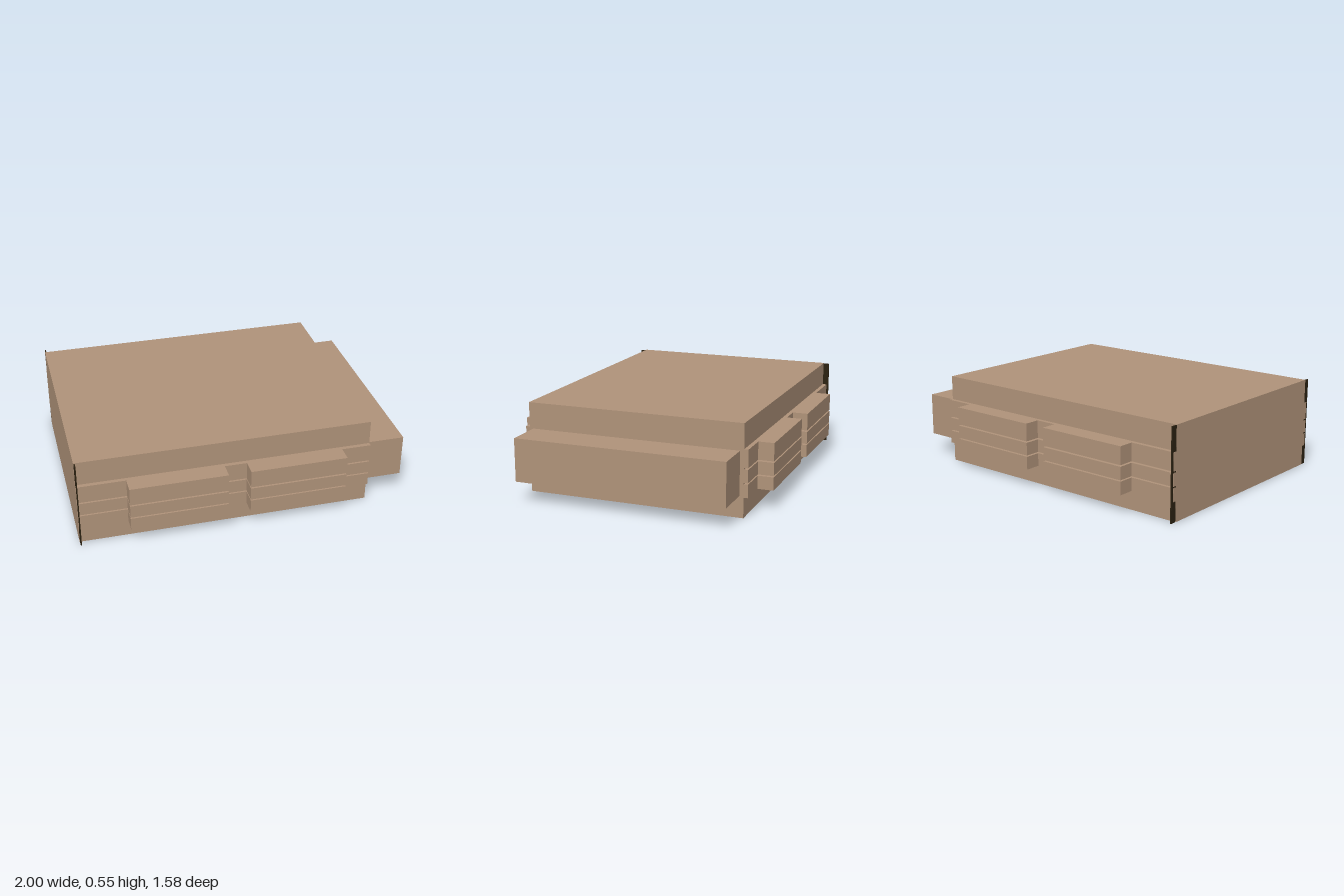
import * as THREE from 'three';

export function createModel() {
  const group = new THREE.Group();
  group.name = 'slattedCrate';

  const material = (name, color) => {
    const m = new THREE.MeshStandardMaterial({ color });
    m.name = name;
    return m;
  };
  const tan = material('tan', 0xb0937a);
  const dark = material('darkBrown', 0x2c2212);
  const redBrown = material('redBrown', 0x3d281a);

  // Box given by its extents along each axis
  const box = (name, mat, [x0, x1], [y0, y1], [z0, z1]) => {
    const mesh = new THREE.Mesh(new THREE.BoxGeometry(x1 - x0, y1 - y0, z1 - z0), mat);
    mesh.position.set((x0 + x1) / 2, (y0 + y1) / 2, (z0 + z1) / 2);
    mesh.name = name;
    group.add(mesh);
  };

  // Main body and the end block
  box('body', tan, [-1, 0.77], [0, 0.553], [-0.672, 0.672]);
  box('endBlock', tan, [0.77, 1], [0.13, 0.393], [-0.648, 0.648]);

  // Slats with raised blocks, mirrored on front and back
  const rows = [[0.122, 0.201], [0.209, 0.287], [0.296, 0.404]];
  const blocks = [[-0.71, -0.13], [0.003, 0.59]];
  for (const s of [1, -1]) {
    const span = (a, b) => [Math.min(s * a, s * b), Math.max(s * a, s * b)];
    for (const row of rows) {
      box('sideSlat', tan, [-1, 0.77], row, span(0.672, 0.697));
      for (const b of blocks) box('raisedBlock', tan, b, row, span(0.697, 0.792));
    }
    // Dark edge of the closed end, standing proud of the body
    box('endPlateEdge', dark, [-0.998, -0.991], [0, 0.55], span(0.672, 0.71));
  }

  // Dark slots on the underside
  for (const [z, mat] of [[-0.21, dark], [0.2, dark]]) {
    box('undersideSlot', mat, [0.04, 0.57], [-0.002, 0.002], [z - 0.03, z + 0.03]);
    box('undersideSlot', redBrown, [-0.63, -0.13], [-0.002, 0.002], [z - 0.03, z + 0.03]);
  }

  return group;
}
